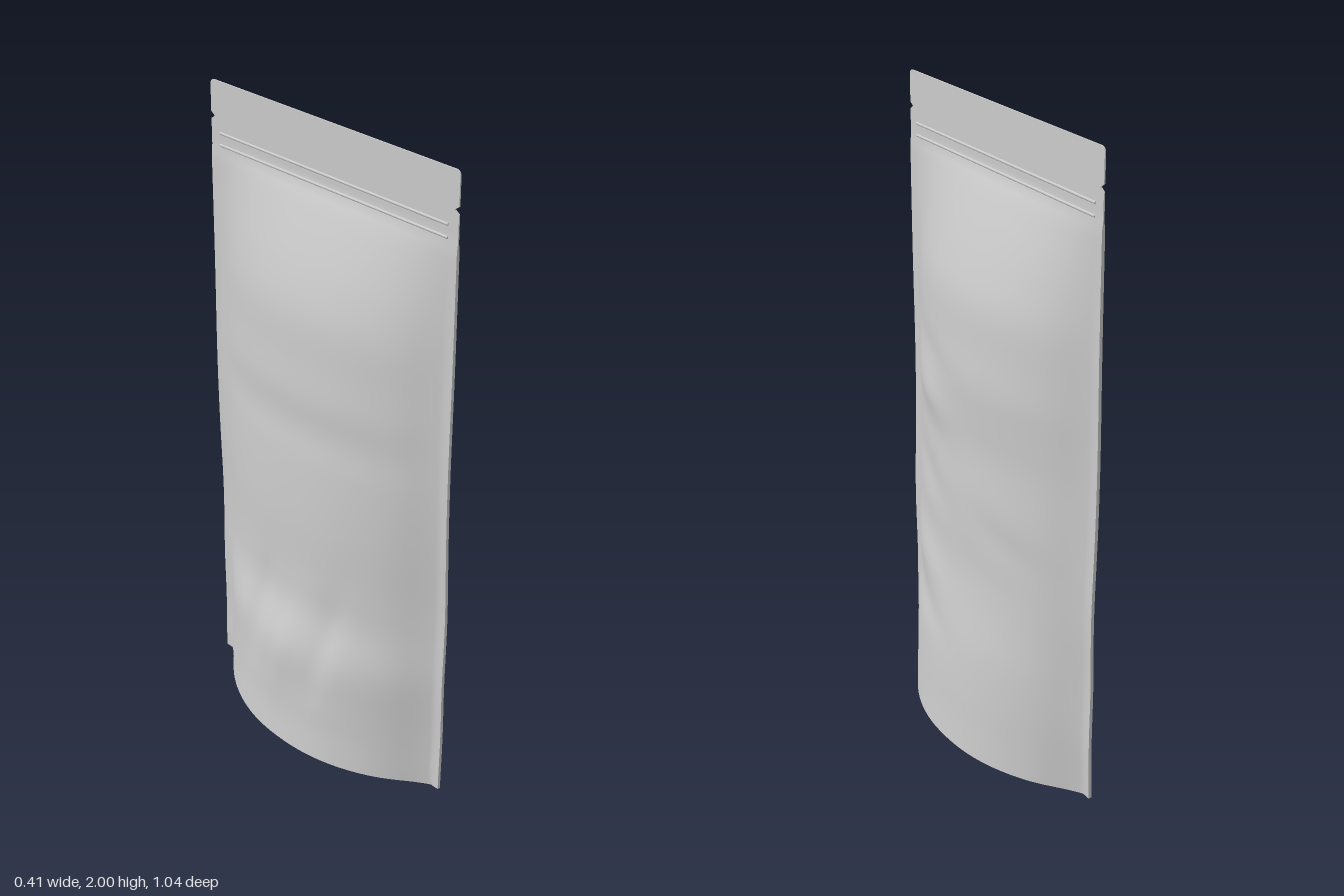
import * as THREE from 'three';

const material = new THREE.MeshStandardMaterial({ color: 0xcccccc, side: THREE.DoubleSide });

// Smooth surface from a function of grid columns and rows
function surface(name, cols, rows, point) {
  const pos = [], index = [];
  for (const r of rows) for (const c of cols) pos.push(...point(c, r));
  const n = cols.length;
  for (let j = 0; j < rows.length - 1; j++) {
    for (let i = 0; i < n - 1; i++) {
      const a = j * n + i, b = a + 1, c = a + n, d = c + 1;
      index.push(a, b, d, a, d, c);
    }
  }
  const g = new THREE.BufferGeometry();
  g.setAttribute('position', new THREE.Float32BufferAttribute(pos, 3));
  g.setIndex(index);
  g.computeVertexNormals();
  const mesh = new THREE.Mesh(g, material);
  mesh.name = name;
  return mesh;
}

const range = (a, b, n) => Array.from({ length: n + 1 }, (_, i) => a + (b - a) * i / n);
const bump = (v, centre, width) => Math.exp(-(((v - centre) / width) ** 2));

// Half depth of each panel along the height
const heights = [0, 0.1, 0.2, 0.35, 0.5, 0.6, 0.8, 1.0, 1.1, 1.2, 1.3, 1.45, 1.55, 1.65, 1.75, 1.8, 2];
const depths = {
  1: [0.2, 0.192, 0.186, 0.173, 0.151, 0.141, 0.139, 0.126, 0.128, 0.13, 0.122, 0.109, 0.084, 0.053, 0.018, 0, 0],
  '-1': [0.2, 0.191, 0.188, 0.182, 0.147, 0.141, 0.138, 0.128, 0.119, 0.121, 0.115, 0.105, 0.084, 0.054, 0.019, 0, 0],
};
const profile = {};
for (const s of [1, -1]) profile[s] = new THREE.CubicInterpolant(heights, depths[s], 1, new Float32Array(1));
const depthAt = (s, y) => y >= 1.8 ? 0 : Math.max(0, profile[s].evaluate(y)[0]);

// Soft creases: [side, z, y, slope, length, height, amount]
const creases = [
  [1, 0.25, 1.08, 0.25, 0.16, 0.06, 0.012], [1, 0.24, 0.82, 0.3, 0.16, 0.06, -0.009],
  [1, 0.25, 0.54, 0.35, 0.17, 0.07, 0.012], [1, 0.25, 0.4, 0.3, 0.17, 0.05, -0.008],
  [1, 0.25, 1.22, 0.2, 0.16, 0.05, -0.007], [1, -0.2, 0.75, 0.3, 0.18, 0.06, -0.005],
  [-1, -0.15, 0.4, 1.6, 0.06, 0.15, -0.012], [-1, 0.15, 0.4, 1.6, 0.06, 0.15, -0.01],
  [-1, 0, 0.35, 1.6, 0.06, 0.14, 0.006],
];

// Slight waviness of the side seals
const sway = (y) => 0.006 * bump(y, 0.6, 0.2) - 0.003 * bump(y, 1.1, 0.25) + 0.004 * bump(y, 0.2, 0.15);
const sealHalf = (y) => y < 1.78 ? 0.005 : 0.002;

// Outer edge in z, with tear notches and rounded top corners
function edgeAt(y) {
  const notch = 0.016 * Math.max(0, 1 - Math.abs(y - 1.89) / 0.011);
  const k = Math.max(0, y - 1.985);
  return 0.518 - notch - (0.015 - Math.sqrt(0.015 ** 2 - Math.min(k, 0.015) ** 2));
}

function panelPoint(s, z, y) {
  const u = Math.min(1, Math.abs(z) / 0.488);
  let x = depthAt(s, y) * (1 - u ** 2.2);
  // Ease the curve into the flat seal
  x *= 1 - 0.25 * bump(u, 1, 0.15);
  const fade = (1 - u ** 4) * Math.min(1, y / 0.2) * (y < 1.7 ? 1 : 0);
  for (const [side, cz, cy, slope, len, h, amount] of creases) {
    if (side === s) x += amount * fade * bump(z, cz, len) * bump(y - slope * (z - cz), cy, h);
  }
  return [s * (Math.max(0, x) + sealHalf(y)) + sway(y) * u * u, y, z];
}

export function createModel() {
  const pouch = new THREE.Group();
  pouch.name = 'standUpPouch';
  const rows = [...range(0, 1.875, 75), 1.879, 1.885, 1.89, 1.895, 1.901, 1.94, 1.985, 1.99, 1.995, 1.998, 2];

  // Front and back panels, with their flat seals
  const across = [-1, -0.97, -0.945, ...range(-0.925, 0.925, 56), 0.945, 0.97, 1];
  for (const s of [1, -1]) {
    pouch.add(surface(s > 0 ? 'leftPanel' : 'rightPanel', across, rows,
      (u, y) => panelPoint(s, -s * u * edgeAt(y), y)));
  }

  // Thin edges closing the side seals and the top
  for (const e of [1, -1]) {
    pouch.add(surface(e > 0 ? 'frontSealEdge' : 'backSealEdge', [-1, 1], rows, (t, y) => {
      const z = e * edgeAt(y);
      return [panelPoint(t * e, z, y)[0], y, z];
    }));
  }
  pouch.add(surface('topEdge', [-1, 1], [1, -1], (u, t) => [t * sealHalf(2), 2, u * edgeAt(2)]));

  // Bottom gusset folded up into the pouch
  pouch.add(surface('bottomGusset', across, range(0, Math.PI, 28), (u, a) => {
    const z = u * edgeAt(0), t = Math.cos(a);
    const right = panelPoint(-1, z, 0)[0], left = panelPoint(1, z, 0)[0];
    const lift = 0.14 * Math.sin(a) ** 0.9 * (Math.abs(u) < 0.99 ? 1 : 0);
    const x = (left + right) / 2 + t * (left - right) / 2;
    return [x * (1 - 0.12 * lift / 0.14), lift, z];
  }));

  // Zip closure ridges
  for (const y of [1.805, 1.842]) {
    const ridge = new THREE.Mesh(new THREE.CylinderGeometry(0.005, 0.005, 0.96, 12), material);
    ridge.rotation.x = Math.PI / 2;
    ridge.position.y = y;
    ridge.name = 'zipRidge';
    pouch.add(ridge);
  }
  return pouch;
}
